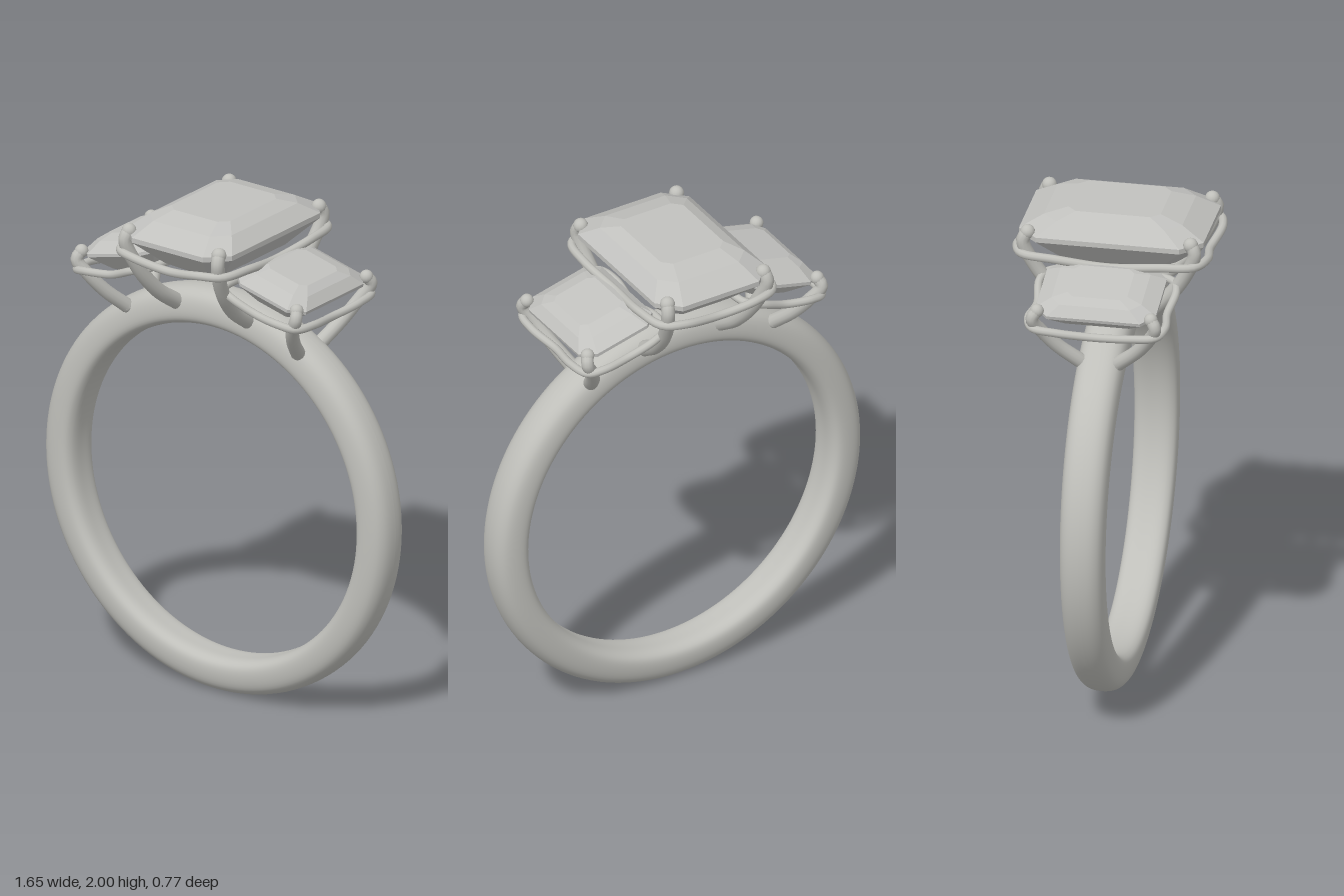
import * as THREE from 'three';

const metal = new THREE.MeshStandardMaterial({ color: 0xbfbfba });
metal.name = 'polished metal';
const gem = new THREE.MeshStandardMaterial({ color: 0xc1c1be, flatShading: true });
gem.name = 'clear stone';

const V = (x, y, z) => new THREE.Vector3(x, y, z);

function addMesh(parent, geometry, material, name) {
  const mesh = new THREE.Mesh(geometry, material);
  mesh.name = name;
  parent.add(mesh);
  return mesh;
}

// Band: closed rounded profile turned about z, slightly wider at the top
function bandGeometry() {
  const half = [[0.823, 0], [0.815, 0.05], [0.79, 0.08], [0.74, 0.093], [0.7, 0.087], [0.68, 0.06]];
  const lower = half.slice(1).reverse().map(([r, w]) => V(r, -w, 0));
  const loop = [...half.map(([r, w]) => V(r, w, 0)), V(0.676, 0, 0), ...lower];
  const profile = new THREE.CatmullRomCurve3(loop, true).getPoints(48);
  const geo = new THREE.LatheGeometry(profile.map((p) => new THREE.Vector2(p.x, p.y)), 128);
  geo.rotateX(Math.PI / 2);
  const pos = geo.attributes.position;
  for (let i = 0; i < pos.count; i++) {
    pos.setZ(i, pos.getZ(i) * (0.93 + 0.08 * pos.getY(i)));
  }
  return geo.translate(0, 0.823, 0);
}

// Step-cut stone: stacked cut-corner rectangles, table at y = 0
function stoneGeometry(sx, sy, sz) {
  const layers = [ // half width, half depth, corner cut, height
    [0.14, 0.18, 0.035, 0],
    [0.195, 0.27, 0.06, -0.025],
    [0.25, 0.36, 0.08, -0.075],
    [0.25, 0.36, 0.08, -0.095],
    [0.15, 0.24, 0.05, -0.2],
    [0, 0.1, 0, -0.28],
  ];
  const rings = layers.map(([w, d, c, y]) => [
    [w, -d + c], [w, d - c], [w - c, d], [-w + c, d],
    [-w, d - c], [-w, -d + c], [-w + c, -d], [w - c, -d],
  ].map(([x, z]) => V(x * sx, y * sy, z * sz)));
  const tris = [];
  for (let i = 0; i < 8; i++) {
    const j = (i + 1) % 8;
    tris.push(V(0, 0, 0), rings[0][j], rings[0][i]);
    for (let k = 0; k < rings.length - 1; k++) {
      const [a, b] = [rings[k], rings[k + 1]];
      tris.push(a[i], a[j], b[i], a[j], b[j], b[i]);
    }
  }
  const geo = new THREE.BufferGeometry().setFromPoints(tris);
  geo.computeVertexNormals();
  return geo;
}

// Wavy gallery wire around a stone, dipping at the middle of each side
function railGeometry(s, radius) {
  const corner = [[0.27, -0.15, 0.2], [0.245, -0.148, 0.335], [0.16, -0.15, 0.37]];
  const flip = (mx, mz) => corner.map(([x, y, z]) => [x * mx, y, z * mz]);
  const loop = [
    [0.25, -0.175, 0], ...flip(1, 1),
    [0, -0.175, 0.352], ...flip(-1, 1).reverse(),
    [-0.25, -0.175, 0], ...flip(-1, -1),
    [0, -0.175, -0.352], ...flip(1, -1).reverse(),
  ];
  const curve = new THREE.CatmullRomCurve3(loop.map(([x, y, z]) => V(x * s, y * s, z * s)), true);
  return new THREE.TubeGeometry(curve, 128, radius, 10, true);
}

// Claw: tube tapering from the band up, with a rounded tip
function addProng(parent, points, r0, r1, name) {
  const prong = new THREE.Group();
  prong.name = name;
  const curve = new THREE.CatmullRomCurve3(points);
  const steps = 28;
  const sides = 12;
  const geo = new THREE.TubeGeometry(curve, steps, 1, sides, false);
  const pos = geo.attributes.position;
  const p = V(0, 0, 0);
  for (let i = 0; i < pos.count; i++) {
    const t = Math.floor(i / (sides + 1)) / steps;
    const c = curve.getPointAt(t);
    p.fromBufferAttribute(pos, i).sub(c).multiplyScalar(r0 + (r1 - r0) * t).add(c);
    pos.setXYZ(i, p.x, p.y, p.z);
  }
  addMesh(prong, geo, metal, 'prongArm');
  const ends = [[points[0], r0, 'prongFoot'], [points[points.length - 1], r1 * 1.12, 'prongTip']];
  for (const [at, r, part] of ends) {
    addMesh(prong, new THREE.SphereGeometry(r, 14, 10), metal, part).position.copy(at);
  }
  parent.add(prong);
}

export function createModel() {
  const ring = new THREE.Group();
  ring.name = 'threeStoneRing';
  addMesh(ring, bandGeometry(), metal, 'band');

  // Centre setting
  const centre = new THREE.Group();
  centre.name = 'centreSetting';
  centre.position.y = 2;
  addMesh(centre, stoneGeometry(1, 1, 1), gem, 'centreStone');
  addMesh(centre, railGeometry(1, 0.017), metal, 'centreRail');
  ring.add(centre);

  // Side settings, tilted outward
  for (const s of [1, -1]) {
    const side = new THREE.Group();
    side.name = s > 0 ? 'leftSetting' : 'rightSetting';
    side.position.set(s * 0.378, 1.82, 0);
    side.rotation.z = -s * 0.24;
    addMesh(side, stoneGeometry(0.68, 0.66, 0.65), gem, 'sideStone');
    addMesh(side, railGeometry(0.72, 0.016), metal, 'sideRail');
    ring.add(side);

    // Prongs, front and back
    for (const f of [1, -1]) {
      const path = (pts) => pts.map(([x, y, z]) => V(s * x, y, f * z));
      addProng(ring, path([
        [0.17, 1.575, 0.075], [0.18, 1.65, 0.18], [0.2, 1.77, 0.28],
        [0.222, 1.9, 0.335], [0.215, 1.932, 0.318],
      ]), 0.032, 0.026, 'centreProng');
      addProng(ring, path([
        [0.41, 1.5, 0.075], [0.45, 1.575, 0.155], [0.49, 1.655, 0.215],
        [0.525, 1.715, 0.24], [0.515, 1.745, 0.222],
      ]), 0.029, 0.024, 'sideProng');
    }
  }
  return ring;
}
